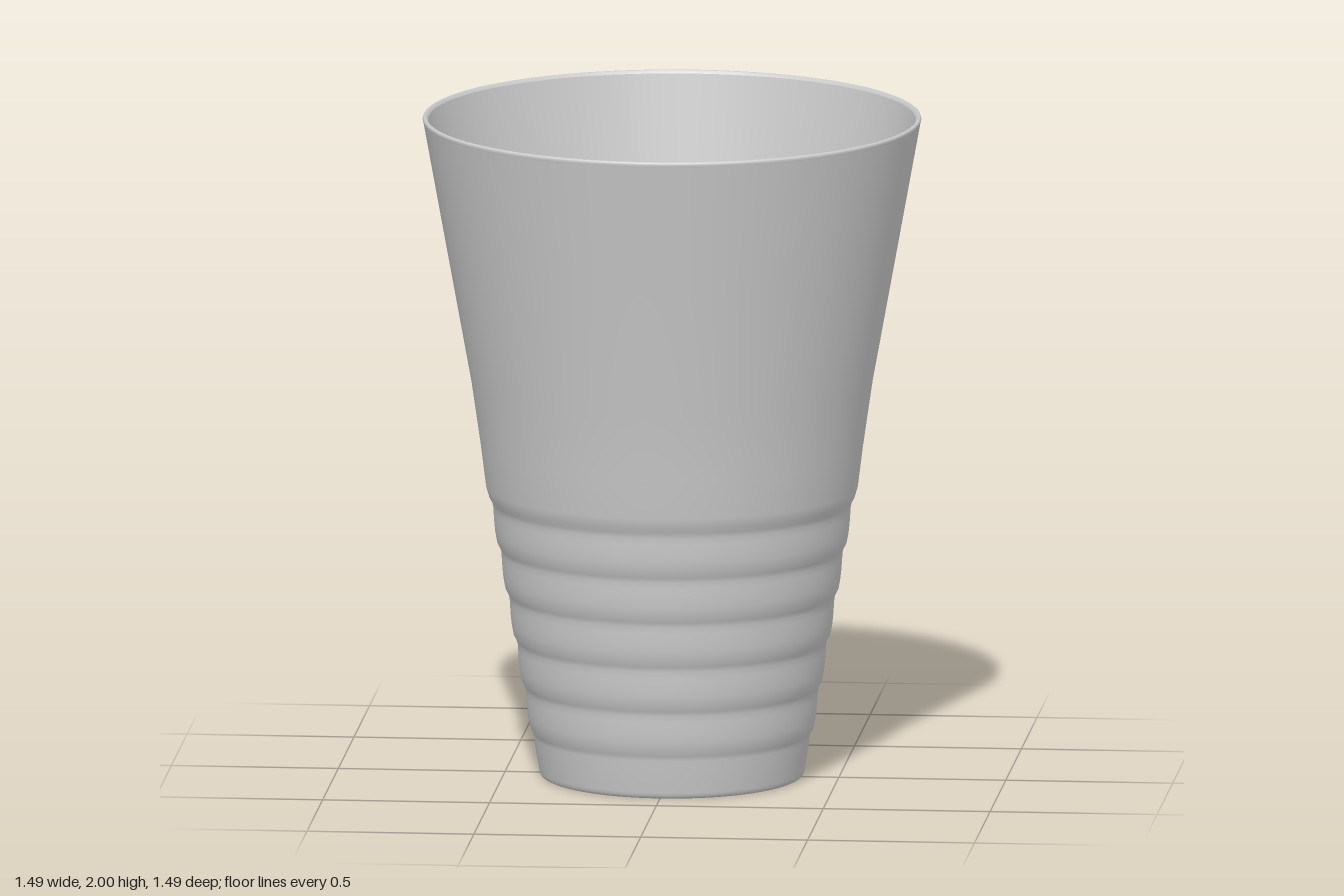
import * as THREE from 'three';

const SEGMENTS = 128;

function lathe(name, points, material) {
  const profile = points.map(([r, y]) => new THREE.Vector2(r, y));
  const mesh = new THREE.Mesh(new THREE.LatheGeometry(profile, SEGMENTS), material);
  mesh.name = name;
  return mesh;
}

export function createModel() {
  const group = new THREE.Group();
  group.name = 'cup';
  const material = new THREE.MeshStandardMaterial({ color: 0xcccccc });

  // Flat underside
  group.add(lathe('base', [[0, 0], [0.384, 0]], material));

  // Outer wall: rounded foot, then six ribs stepping outward at each groove
  const outer = [[0.384, 0], [0.39, 0.003], [0.394, 0.009], [0.396, 0.018]];
  for (let i = 0; i < 6; i++) {
    const y = 0.13 + i * 0.14;
    const r = 0.41 + i * 0.0245;
    if (i > 0) outer.push([r - 0.005, y - 0.09], [r - 0.002, y - 0.06]);
    outer.push([r, y - 0.03], [r + 0.001, y - 0.012], [r + 0.005, y + 0.003], [r + 0.014, y + 0.02]);
  }
  // Plain flared upper wall
  outer.push([0.555, 0.88], [0.57, 1], [0.599, 1.2], [0.672, 1.6], [0.742, 1.985]);
  group.add(lathe('outerWall', outer, material));

  // Rounded rim
  group.add(lathe('rim',
    [[0.742, 1.985], [0.744, 1.992], [0.742, 1.997], [0.737, 2], [0.732, 1.998], [0.727, 1.99]], material));

  // Smooth interior with a filleted floor
  group.add(lathe('interior',
    [[0.727, 1.99], [0.655, 1.6], [0.582, 1.2], [0.546, 1], [0.51, 0.8], [0.44, 0.4], [0.385, 0.1],
      [0.376, 0.06], [0.366, 0.043], [0.35, 0.034], [0.32, 0.03], [0, 0.03]], material));

  return group;
}
